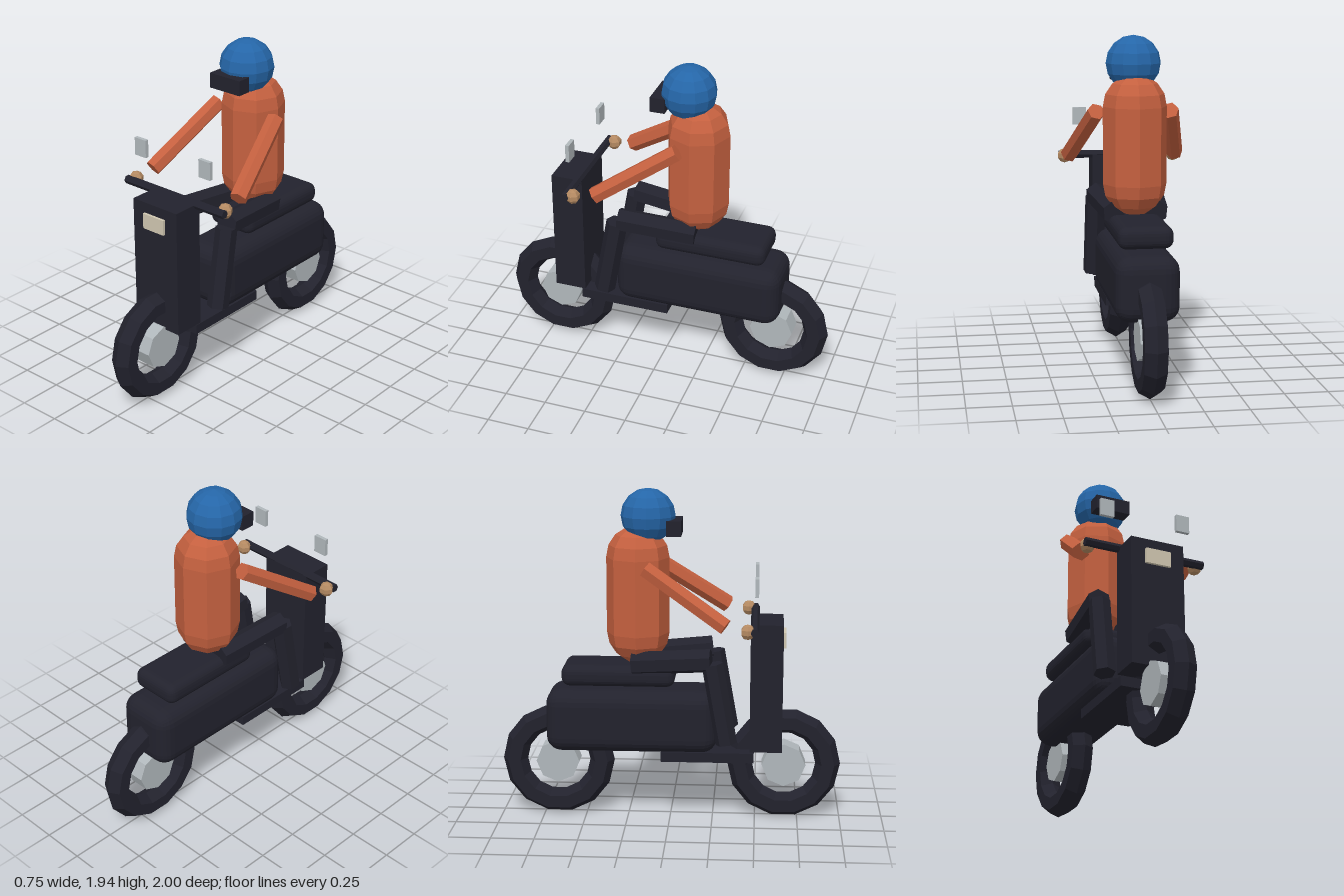
import * as THREE from 'three';
import { RoundedBoxGeometry } from 'three/addons/geometries/RoundedBoxGeometry.js';

const paint = (name, color) => {
  const m = new THREE.MeshStandardMaterial({ color, flatShading: true });
  m.name = name;
  return m;
};

export function createModel() {
  const dark = paint('charcoal', 0x22222d);
  const orange = paint('burnt orange', 0xc4603f);
  const blue = paint('helmet blue', 0x2566a8);
  const grey = paint('light grey', 0xb0b7bb);
  const cream = paint('cream', 0xcfc6b0);
  const tan = paint('tan', 0xb58a62);

  const model = new THREE.Group();
  model.name = 'scooterAndRider';

  const add = (name, geometry, material, x, y, z) => {
    const mesh = new THREE.Mesh(geometry, material);
    mesh.name = name;
    mesh.position.set(x, y, z);
    model.add(mesh);
    return mesh;
  };
  const box = (name, material, w, h, d, x, y, z) =>
    add(name, new THREE.BoxGeometry(w, h, d), material, x, y, z);

  // Six-sided limb between two points
  const limb = (name, material, from, to, radius) => {
    const a = new THREE.Vector3(...from), b = new THREE.Vector3(...to);
    const dir = b.clone().sub(a);
    const mid = a.clone().add(b).multiplyScalar(0.5);
    const mesh = add(name, new THREE.CylinderGeometry(radius, radius, dir.length(), 6), material, mid.x, mid.y, mid.z);
    mesh.quaternion.setFromUnitVectors(new THREE.Vector3(0, 1, 0), dir.normalize());
  };

  // Wheels
  for (const [name, z] of [['front', 0.667], ['rear', -0.667]]) {
    add(name + 'Tyre', new THREE.TorusGeometry(0.26, 0.073, 6, 14), dark, 0, 0.326, z).rotation.y = Math.PI / 2;
    add(name + 'Hub', new THREE.CylinderGeometry(0.128, 0.128, 0.12, 8), grey, 0, 0.326, z).rotation.z = Math.PI / 2;
  }

  // Scooter body
  box('frontShield', dark, 0.32, 0.755, 0.188, 0, 0.811, 0.56);
  box('headlight', cream, 0.15, 0.09, 0.03, 0, 1.082, 0.655);
  box('floorboard', dark, 0.3, 0.058, 0.54, 0, 0.392, 0.22);
  add('rearBody', new RoundedBoxGeometry(0.36, 0.37, 1.0, 3, 0.09), dark, 0, 0.595, -0.225);
  add('seat', new RoundedBoxGeometry(0.31, 0.125, 0.66, 3, 0.05), dark, 0, 0.868, -0.3);

  // Handlebar
  add('handlebar', new THREE.CylinderGeometry(0.025, 0.025, 0.73, 6), dark, 0, 1.188, 0.49).rotation.z = Math.PI / 2;

  // Rider torso and head
  add('torso', new THREE.CapsuleGeometry(0.183, 0.44, 4, 8), orange, 0, 1.328, -0.19);
  add('helmet', new THREE.SphereGeometry(0.158, 12, 8), blue, 0, 1.788, -0.13);
  box('visor', dark, 0.216, 0.088, 0.086, 0, 1.727, 0.022);

  // Paired parts
  for (const [side, s] of [['left', 1], ['right', -1]]) {
    box(side + 'Mirror', grey, 0.082, 0.105, 0.022, s * 0.236, 1.423, 0.499);
    add(side + 'Hand', new THREE.SphereGeometry(0.044, 6, 5), tan, s * 0.333, 1.188, 0.45);
    limb(side + 'Arm', orange, [s * 0.212, 1.515, -0.13], [s * 0.32, 1.212, 0.325], 0.051);
    limb(side + 'Thigh', dark, [s * 0.12, 0.946, -0.215], [s * 0.165, 0.98, 0.24], 0.07);
    limb(side + 'Shin', dark, [s * 0.17, 0.962, 0.248], [s * 0.175, 0.49, 0.333], 0.063);
  }

  return model;
}
